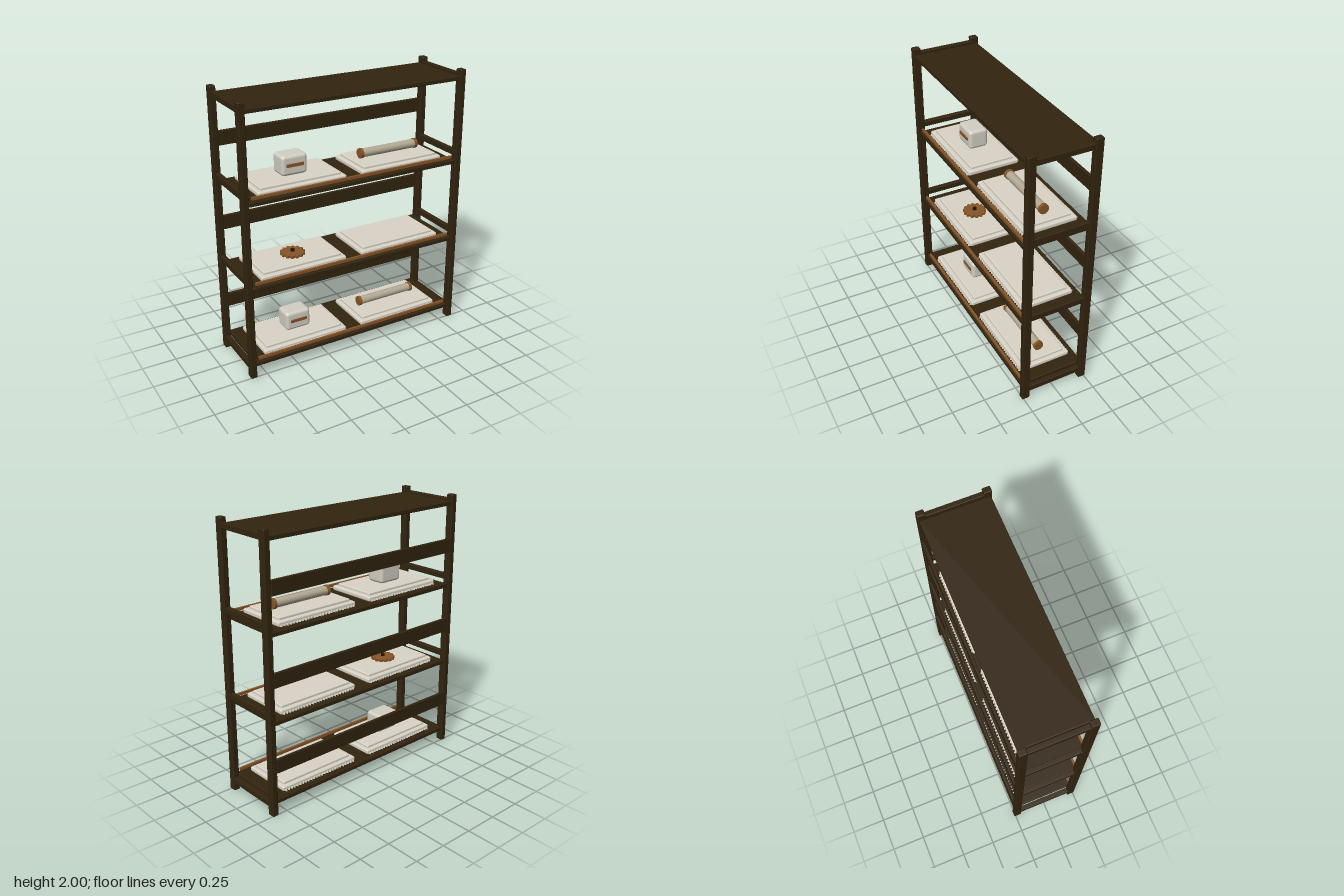
import * as THREE from 'three';
import { RoundedBoxGeometry } from 'three/addons/geometries/RoundedBoxGeometry.js';

const mat = (name, color) => {
  const m = new THREE.MeshStandardMaterial({ color });
  m.name = name;
  return m;
};

export function createModel() {
  const wood = mat('dark wood', 0x32240f);
  const cloth = mat('cream cloth', 0xd9d4c6);
  const shell = mat('pale shell', 0xd2cec3);
  const paper = mat('tan paper', 0xb3a993);
  const copper = mat('warm brown', 0x875527);
  const black = mat('near black', 0x1b150e);

  const root = new THREE.Group();
  root.name = 'shelfUnit';

  const add = (parent, name, geo, material, x, y, z) => {
    const m = new THREE.Mesh(geo, material);
    m.name = name;
    m.position.set(x, y, z);
    parent.add(m);
    return m;
  };
  const rbox = (w, h, d, r) => new RoundedBoxGeometry(w, h, d, 2, r);

  // Corner posts
  for (const x of [-0.851, 0.851])
    for (const z of [-0.232, 0.232])
      add(root, 'post', rbox(0.046, 2, 0.058, 0.007), wood, x, 1, z);

  // Shelf boards, bottom to top
  const shelfTops = [0.116, 0.704, 1.328, 1.953];
  for (const top of shelfTops)
    add(root, 'shelfBoard', rbox(1.65, 0.032, 0.5, 0.006), wood, 0, top - 0.016, 0);

  // Side rails between the posts
  for (const x of [-0.851, 0.851])
    for (const y of [0.08, 0.746, 1.373, 1.947])
      add(root, 'sideRail', rbox(0.036, 0.043, 0.42, 0.005), wood, x, y, 0);

  // Back slats
  for (const y of [0.376, 1.0, 1.624])
    add(root, 'backSlat', rbox(1.66, 0.106, 0.022, 0.005), wood, 0, y, -0.252);

  // Zigzag sheet whose teeth show along both long edges of a pad
  const fringeShape = new THREE.Shape();
  const teeth = 26, halfW = 0.325, step = (2 * halfW) / teeth;
  fringeShape.moveTo(-halfW, -0.19);
  for (const s of [-1, 1])
    for (let i = 0; i < teeth; i++) {
      const x0 = s * (halfW - i * step);
      if (s < 0) {
        fringeShape.lineTo(x0 + step / 2, -0.21);
        fringeShape.lineTo(x0 + step, -0.19);
      } else {
        if (i === 0) fringeShape.lineTo(halfW, 0.19);
        fringeShape.lineTo(x0 - step / 2, 0.21);
        fringeShape.lineTo(x0 - step, 0.19);
      }
    }
  const fringeGeo = new THREE.ExtrudeGeometry(fringeShape, { depth: 0.014, bevelEnabled: false });
  fringeGeo.rotateX(-Math.PI / 2);

  // Toothed disc
  const gearShape = new THREE.Shape();
  const cogs = 14;
  for (let i = 0; i < cogs; i++)
    [[0, 0.076], [0.25, 0.09], [0.6, 0.09], [0.85, 0.076]].forEach(([f, r], k) => {
      const a = ((i + f) / cogs) * Math.PI * 2;
      gearShape[i + k ? 'lineTo' : 'moveTo'](Math.cos(a) * r, Math.sin(a) * r);
    });
  const gearGeo = new THREE.ExtrudeGeometry(gearShape, { depth: 0.02, bevelEnabled: false });
  gearGeo.rotateX(-Math.PI / 2);

  const addPad = (g, x) => {
    add(g, 'padFringe', fringeGeo, cloth, x, 0.002, 0);
    add(g, 'padBase', rbox(0.672, 0.036, 0.395, 0.012), cloth, x, 0.018, 0);
    add(g, 'padTop', rbox(0.615, 0.03, 0.335, 0.008), cloth, x, 0.039, 0);
  };

  const addBox = (g, x) => {
    add(g, 'roundedBox', rbox(0.196, 0.146, 0.146, 0.025), shell, x, 0.127, 0);
    add(g, 'boxSlot', new THREE.BoxGeometry(0.128, 0.022, 0.009), copper, x, 0.131, 0.0765);
  };

  const addRoll = (g, x) => {
    const rod = (name, r, len, m, dx) => {
      add(g, name, new THREE.CylinderGeometry(r, r, len, 16), m, x + dx, 0.091, 0).rotation.z = Math.PI / 2;
    };
    rod('rollBody', 0.032, 0.445, paper, 0);
    for (const s of [-1, 1]) rod('rollCap', 0.037, 0.022, copper, s * 0.232);
  };

  const addGear = (g, x) => {
    add(g, 'toothedDisc', gearGeo, copper, x, 0.054, 0);
    add(g, 'discKnob', new THREE.CylinderGeometry(0.015, 0.015, 0.02, 12), black, x, 0.082, 0);
  };

  // Contents of the three lower shelves
  shelfTops.slice(0, 3).forEach((top, i) => {
    const g = new THREE.Group();
    g.name = 'shelfContents';
    g.position.y = top;
    root.add(g);
    add(g, 'frontTrim', new THREE.BoxGeometry(1.6, 0.02, 0.016), copper, 0, 0.022, 0.235);
    addPad(g, -0.4);
    addPad(g, 0.4);
    if (i === 1) addGear(g, -0.4);
    else {
      addBox(g, -0.4);
      addRoll(g, 0.397);
    }
  });

  return root;
}
